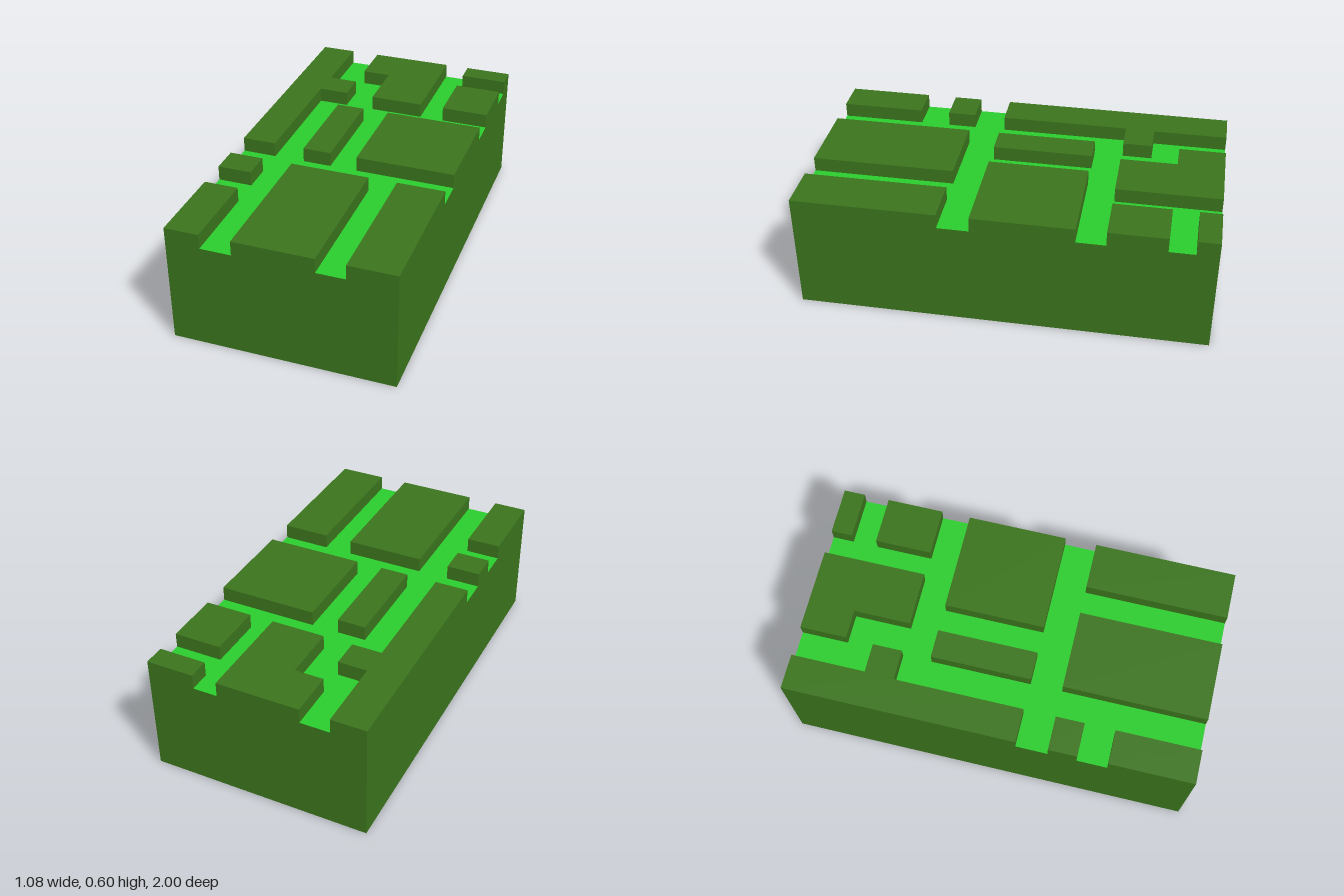
import * as THREE from 'three';

const FLOOR = 0.525, TOP = 0.597, W = 0.54, D = 1;

export function createModel() {
  const group = new THREE.Group();
  const dark = new THREE.MeshStandardMaterial({ color: 0x3a731c, flatShading: true });
  const bright = new THREE.MeshStandardMaterial({ color: 0x2acb2d, flatShading: true });

  // Solid base with a bright floor on its upper face
  const base = new THREE.Mesh(
    new THREE.BoxGeometry(2 * W, FLOOR, 2 * D),
    [dark, dark, bright, dark, dark, dark]
  );
  base.position.y = FLOOR / 2;
  base.name = 'base';
  group.add(base);

  // Raised block from an outline of [x, z] corners
  function block(name, outline) {
    const shape = new THREE.Shape(outline.map(([x, z]) => new THREE.Vector2(x, -z)));
    const geometry = new THREE.ExtrudeGeometry(shape, { depth: TOP - FLOOR, bevelEnabled: false });
    geometry.rotateX(-Math.PI / 2);
    geometry.translate(0, FLOOR, 0);
    const mesh = new THREE.Mesh(geometry, dark);
    mesh.name = name;
    group.add(mesh);
  }
  const rect = (x0, x1, z0, z1) => [[x0, z0], [x0, z1], [x1, z1], [x1, z0]];

  // Stepped blocks
  block('longSideBlock', [
    [-W, -D], [-W, 0.145], [-0.373, 0.145], [-0.373, -0.49],
    [-0.225, -0.49], [-0.225, -0.635], [-0.368, -0.635], [-0.368, -D],
  ]);
  block('backCentreBlock', [
    [-0.222, -D], [-0.222, -0.77], [-0.08, -0.77], [-0.08, -0.49],
    [0.187, -0.49], [0.187, -D],
  ]);

  // Rectangular blocks
  const blocks = {
    backCornerBlock: [0.307, W, -D, -0.895],
    backSideBlock: [0.307, W, -0.77, -0.49],
    narrowCentreBlock: [-0.222, -0.082, -0.348, 0.145],
    wideSideBlock: [0.052, W, -0.348, 0.145],
    smallSideBlock: [-W, -0.373, 0.3, 0.44],
    frontRightBlock: [-W, -0.373, 0.588, D],
    frontCentreBlock: [-0.222, 0.167, 0.3, D],
    frontLeftBlock: [0.307, W, 0.3, D],
  };
  for (const [name, r] of Object.entries(blocks)) block(name, rect(...r));

  return group;
}
